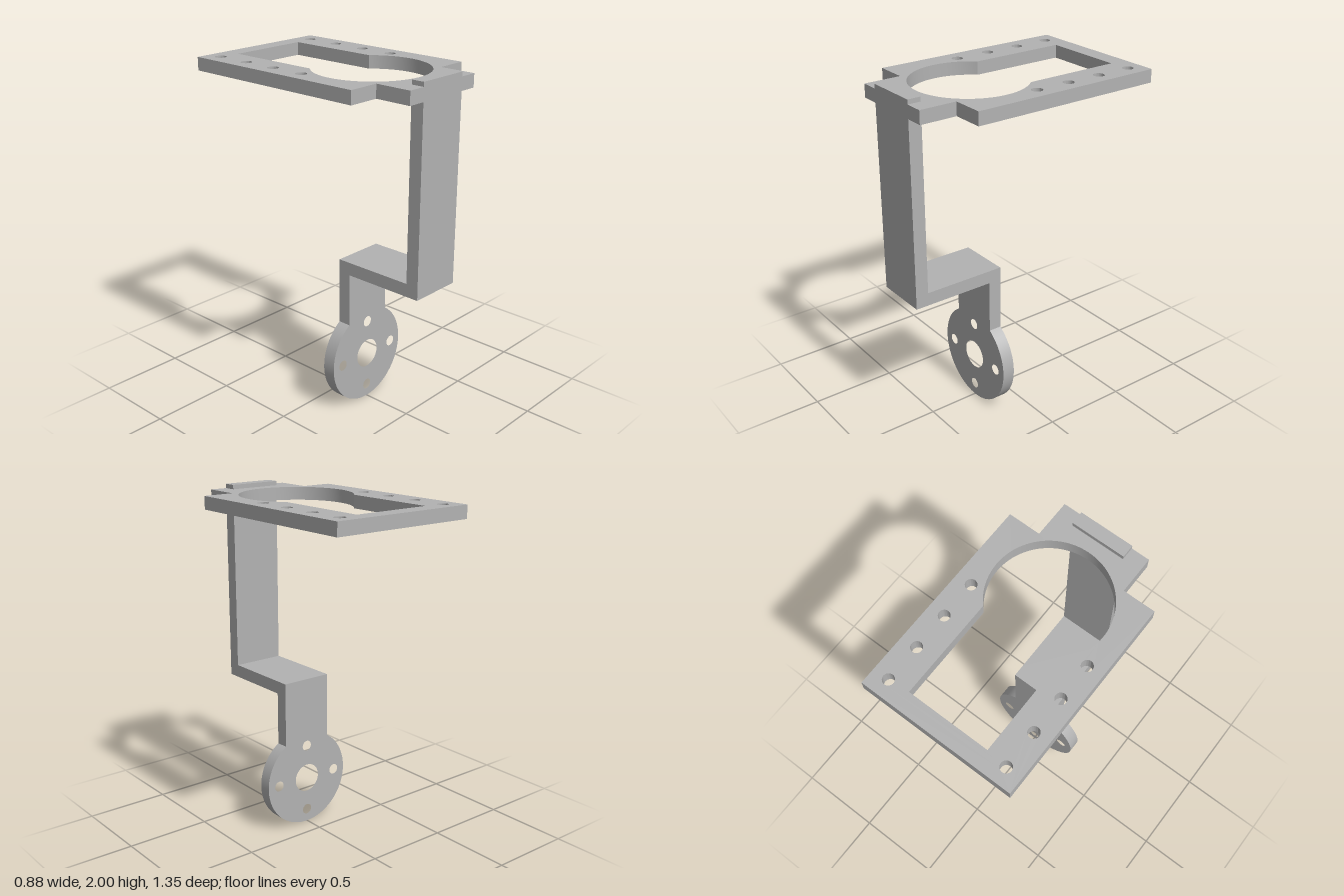
import * as THREE from 'three';
import { toCreasedNormals } from 'three/addons/utils/BufferGeometryUtils.js';

const ARM_HALF = 0.155;    // half width of the bent arm
const THICK = 0.075;       // sheet thickness

function roundHole(x, y, r) {
  const hole = new THREE.Path();
  hole.absarc(x, y, r, 0, Math.PI * 2, true);
  return hole;
}

function extrude(shape, depth) {
  return new THREE.ExtrudeGeometry(shape, { depth, bevelEnabled: false, curveSegments: 40 });
}

export function createModel() {
  const group = new THREE.Group();
  const grey = new THREE.MeshStandardMaterial({ name: 'plain grey', color: 0xb2b2b2 });

  function add(name, geometry) {
    const mesh = new THREE.Mesh(toCreasedNormals(geometry, 0.5), grey);
    mesh.name = name;
    group.add(mesh);
  }

  // Top plate with a front tab, drawn in x and z
  const plate = new THREE.Shape([
    [-0.44, -0.675], [0.44, -0.675], [0.44, 0.462], [0.258, 0.462],
    [0.258, 0.675], [-0.258, 0.675], [-0.258, 0.462], [-0.44, 0.462],
  ].map(([x, z]) => new THREE.Vector2(x, z)));

  // Keyhole opening: rectangular slot running into a circle
  const slotHalf = 0.233, ringR = 0.322, ringZ = 0.205;
  const slotAngle = -Math.acos(slotHalf / ringR);
  const keyhole = new THREE.Path();
  keyhole.moveTo(-slotHalf, -0.575);
  keyhole.lineTo(slotHalf, -0.575);
  keyhole.absarc(0, ringZ, ringR, slotAngle, Math.PI - slotAngle, false);
  keyhole.closePath();
  plate.holes.push(keyhole);

  // Four mounting holes along each side
  for (const side of [-1, 1]) {
    for (let i = 0; i < 4; i++) plate.holes.push(roundHole(side * 0.35, -0.586 + i * 0.2075, 0.031));
  }
  add('mountingPlate', extrude(plate, THICK).rotateX(Math.PI / 2).translate(0, 1.975, 0));

  // Upright arm and shelf, an L profile in z and y
  const arm = new THREE.Shape([
    [0.195, 0.835], [0.675, 0.835], [0.675, 2], [0.6, 2], [0.6, 0.91], [0.195, 0.91],
  ].map(([z, y]) => new THREE.Vector2(z, y)));
  add('bentArm', extrude(arm, ARM_HALF * 2).rotateY(-Math.PI / 2).translate(ARM_HALF, 0, 0));

  // Lower leg ending in a round flange
  const flangeR = 0.285;
  const neck = Math.acos(ARM_HALF / flangeR);
  const flange = new THREE.Shape();
  flange.moveTo(-ARM_HALF, 0.91);
  flange.lineTo(ARM_HALF, 0.91);
  flange.absarc(0, flangeR, flangeR, neck, Math.PI - neck, true);
  flange.closePath();

  // Shaft hole and four bolt holes
  flange.holes.push(roundHole(0, flangeR, 0.085));
  for (let i = 0; i < 4; i++) {
    const a = i * Math.PI / 2;
    flange.holes.push(roundHole(0.207 * Math.cos(a), flangeR + 0.207 * Math.sin(a), 0.031));
  }
  add('flangeLeg', extrude(flange, THICK).translate(0, 0, 0.12));

  return group;
}
